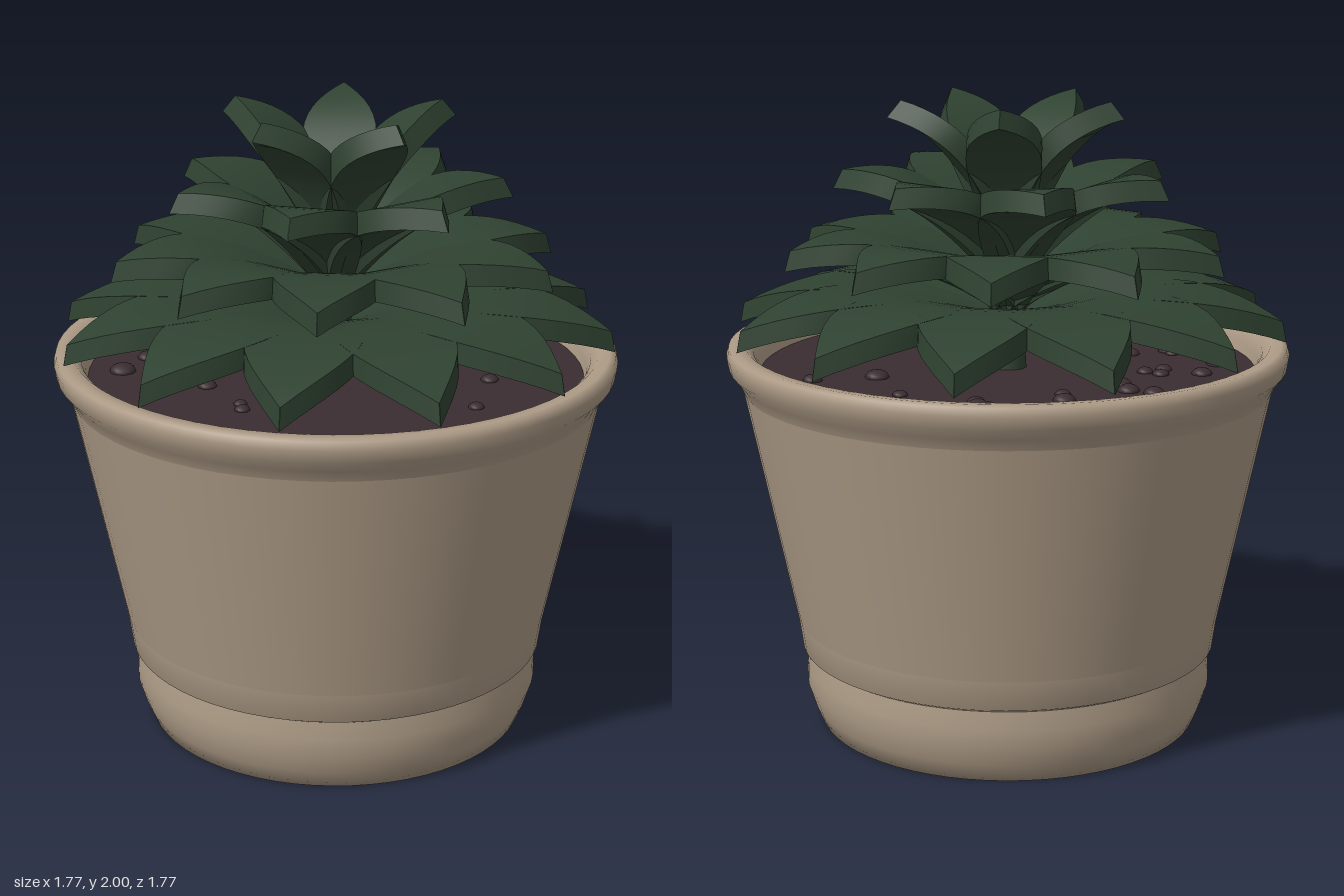
import * as THREE from 'three';

const mat = (name, color) => {
  const m = new THREE.MeshStandardMaterial({ color });
  m.name = name;
  return m;
};
const clay = mat('clay', 0xad9b86);
const leafGreen = mat('leaf green', 0x2f4231);
const earth = mat('earth', 0x3b2d31);

function add(parent, name, geometry, material) {
  const mesh = new THREE.Mesh(geometry, material);
  mesh.name = name;
  parent.add(mesh);
  return mesh;
}

const lathe = (points) =>
  new THREE.LatheGeometry(points.map(([r, y]) => new THREE.Vector2(r, y)), 64);

// Half width of a leaf along its length: narrow base, full middle, pointed tip
function leafWidth(t) {
  const peak = 0.56;
  return t < peak
    ? 0.35 + 0.65 * Math.sin((t / peak) * Math.PI / 2)
    : Math.max(0.004, Math.cos(((t - peak) / (1 - peak)) * Math.PI / 2));
}

// A thick leaf: a box bent along an arched path of its underside (radius, height)
function leafGeometry({ path, width, tilt }) {
  const curve = new THREE.QuadraticBezierCurve(...path.map(([r, y]) => new THREE.Vector2(r, y)));
  const geo = new THREE.BoxGeometry(1, 1, 1, 2, 1, 16);
  const pos = geo.attributes.position;
  const thickness = 0.068;
  for (let i = 0; i < pos.count; i++) {
    const t = pos.getZ(i) + 0.5;
    const lift = (pos.getY(i) + 0.5) * thickness;
    const p = curve.getPoint(t);
    pos.setXYZ(i,
      pos.getX(i) * 2 * width * leafWidth(t),
      p.y + lift * Math.cos(tilt),
      p.x - lift * Math.sin(tilt));
  }
  geo.computeVertexNormals();
  return geo;
}

export function createModel() {
  const model = new THREE.Group();
  model.name = 'pottedSucculent';

  // Pot: rounded foot, tapered wall with rolled rim, inner wall
  const pot = new THREE.Group();
  pot.name = 'pot';
  model.add(pot);
  add(pot, 'foot', lathe([
    [0, 0], [0.61, 0], [0.635, 0.06], [0.654, 0.12], [0.653, 0.18], [0.645, 0.24],
  ]), clay);
  add(pot, 'lowerBand', lathe([[0.64, 0.235], [0.667, 0.25], [0.68, 0.345]]), clay);
  add(pot, 'wall', lathe([[0.68, 0.345], [0.757, 0.72], [0.835, 1.1]]), clay);
  add(pot, 'rim', lathe([
    [0.835, 1.1], [0.85, 1.135], [0.878, 1.17], [0.885, 1.21], [0.878, 1.235],
    [0.86, 1.241], [0.825, 1.238], [0.8, 1.215], [0.788, 1.18], [0.77, 1.1],
  ]), clay);

  // Soil surface with scattered clods
  const soil = add(model, 'soil', new THREE.CircleGeometry(0.785, 64), earth);
  soil.rotation.x = -Math.PI / 2;
  soil.position.y = 1.15;
  const clods = new THREE.Group();
  clods.name = 'soilClods';
  model.add(clods);
  const clodGeo = new THREE.SphereGeometry(1, 10, 8);
  let seed = 7;
  const random = () => (seed = (seed * 16807) % 2147483647) / 2147483647;
  const placeClod = (x, z, size) => {
    const clod = add(clods, 'clod', clodGeo, earth);
    clod.position.set(x, 1.152, z);
    clod.scale.set(size, size * 0.6, size);
  };
  placeClod(-0.68, -0.27, 0.035);
  placeClod(-0.5, 0.45, 0.042);
  for (let i = 0; i < 24; i++) {
    const a = (Math.floor(random() * 12) + random() * 0.3 - 0.15) * Math.PI / 6;
    const r = 0.4 + random() * 0.25;
    placeClod(Math.sin(a) * r, Math.cos(a) * r, 0.02 + random() * 0.02);
  }

  // Rosette: four tiers of leaves on a short stem
  const plant = new THREE.Group();
  plant.name = 'rosette';
  model.add(plant);
  const stem = add(plant, 'stem', new THREE.CylinderGeometry(0.035, 0.06, 0.42, 12), leafGreen);
  stem.position.y = 1.35;

  const tiers = [
    { name: 'outerLeaf', count: 12, start: 0, width: 0.172, tilt: 0.2,
      path: [[0.02, 1.24], [0.5, 1.445], [0.875, 1.26]] },
    { name: 'lowerLeaf', count: 10, start: Math.PI, width: 0.155, tilt: 0.28,
      path: [[0.02, 1.34], [0.4, 1.6], [0.705, 1.485]] },
    { name: 'upperLeaf', count: 7, start: Math.PI, width: 0.145, tilt: 0.47,
      path: [[0.02, 1.42], [0.25, 1.75], [0.545, 1.715]] },
    { name: 'innerLeaf', count: 5, start: 0, width: 0.115, tilt: 0.7,
      path: [[0.02, 1.5], [0.13, 1.88], [0.38, 1.948]] },
  ];
  for (const tier of tiers) {
    const geo = leafGeometry(tier);
    for (let i = 0; i < tier.count; i++) {
      const leaf = add(plant, tier.name, geo, leafGreen);
      leaf.rotation.y = tier.start + (i / tier.count) * Math.PI * 2;
    }
  }
  return model;
}
